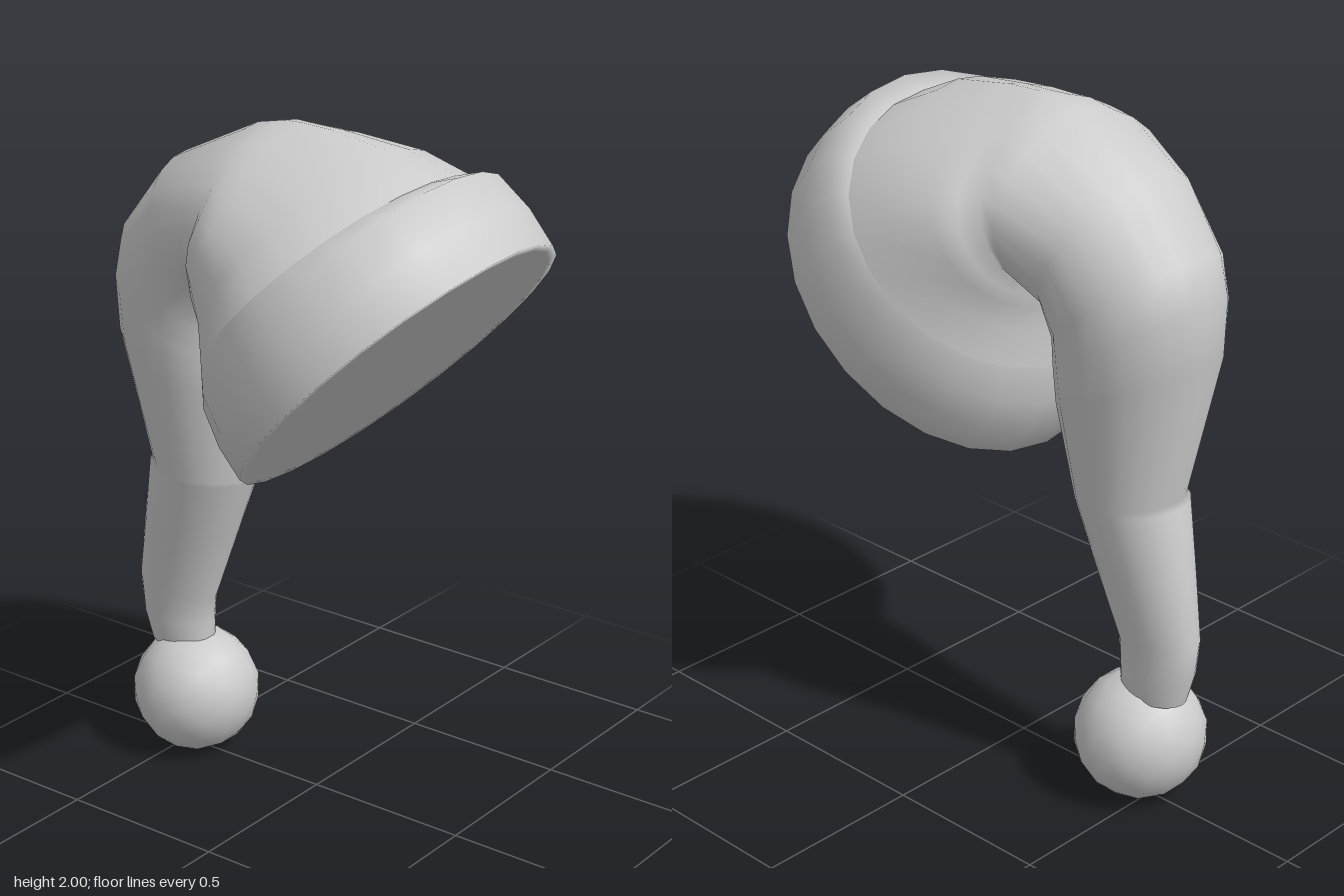
import * as THREE from 'three';

const SIDES = 24;
const material = new THREE.MeshStandardMaterial({ color: 0xcccccc, side: THREE.DoubleSide });

// Each section: [outer z, outer y, inner z, inner y, half width in x, taper of the outer half]
function ringPoints([az, ay, bz, by, w, taper = 1]) {
  const cz = (az + bz) / 2, cy = (ay + by) / 2;
  return Array.from({ length: SIDES }, (_, j) => {
    const t = (j / SIDES) * Math.PI * 2;
    const c = Math.cos(t), s = Math.sin(t);
    const x = w * Math.sign(c) * Math.abs(c) ** (s > 0 ? taper : 1);
    return [x, cy + s * (ay - cy), cz + s * (az - cz)];
  });
}

// Smooth skin stretched over consecutive sections
function loft(name, sections) {
  const index = [];
  for (let i = 0; i < sections.length - 1; i++) {
    for (let j = 0; j < SIDES; j++) {
      const k = (j + 1) % SIDES;
      const a = i * SIDES + j, b = i * SIDES + k;
      index.push(a, a + SIDES, b, b, a + SIDES, b + SIDES);
    }
  }
  const geometry = new THREE.BufferGeometry();
  const points = sections.flatMap(ringPoints).flat();
  geometry.setAttribute('position', new THREE.Float32BufferAttribute(points, 3));
  geometry.setIndex(index);
  geometry.computeVertexNormals();
  const mesh = new THREE.Mesh(geometry, material);
  mesh.name = name;
  return mesh;
}

export function createModel() {
  const group = new THREE.Group();
  group.name = 'hat';

  // Closed underside and wide fur band, softly rolled at the lip
  group.add(loft('brim', [
    [0.285, 1.375, 0.285, 1.375, 0],
    [0.64, 1.749, -0.07, 1.001, 0.49, 1.08],
    [0.66, 1.77, -0.09, 0.98, 0.52, 1.12],
    [0.57, 1.855, -0.15, 1.06, 0.53, 1.05],
    [0.46, 1.93, -0.2, 1.16, 0.52],
    [0.38, 1.905, -0.205, 1.27, 0.495],
  ]));

  // Cap curving in from the band, pinched at the fold, then hanging down as the tail
  group.add(loft('capAndTail', [
    [0.38, 1.905, -0.205, 1.27, 0.495],
    [0.25, 1.965, -0.205, 1.38, 0.46, 1.25],
    [0.05, 1.995, -0.21, 1.44, 0.42, 1.55],
    [-0.05, 2.0, -0.215, 1.47, 0.385, 1.6],
    [-0.11, 1.998, -0.215, 1.49, 0.33, 1.3],
    [-0.2, 1.98, -0.215, 1.49, 0.335, 1.3],
    [-0.46, 1.86, -0.21, 1.44, 0.27, 1.1],
    [-0.62, 1.67, -0.205, 1.36, 0.245],
    [-0.655, 1.55, -0.2, 1.28, 0.238],
    [-0.655, 1.38, -0.2, 1.18, 0.22],
    // small tuck at the back
    [-0.56, 0.95, -0.247, 0.92, 0.153],
    [-0.578, 0.938, -0.247, 0.908, 0.152],
    [-0.615, 0.74, -0.315, 0.71, 0.12],
    [-0.65, 0.54, -0.39, 0.5, 0.085],
    [-0.635, 0.43, -0.4, 0.42, 0.088],
    [-0.61, 0.34, -0.4, 0.34, 0.075],
  ]));

  // Pompom at the tip
  const pompom = new THREE.Mesh(new THREE.IcosahedronGeometry(0.192, 2), material);
  pompom.name = 'pompom';
  pompom.position.set(0, 0.192, -0.458);
  group.add(pompom);

  return group;
}
